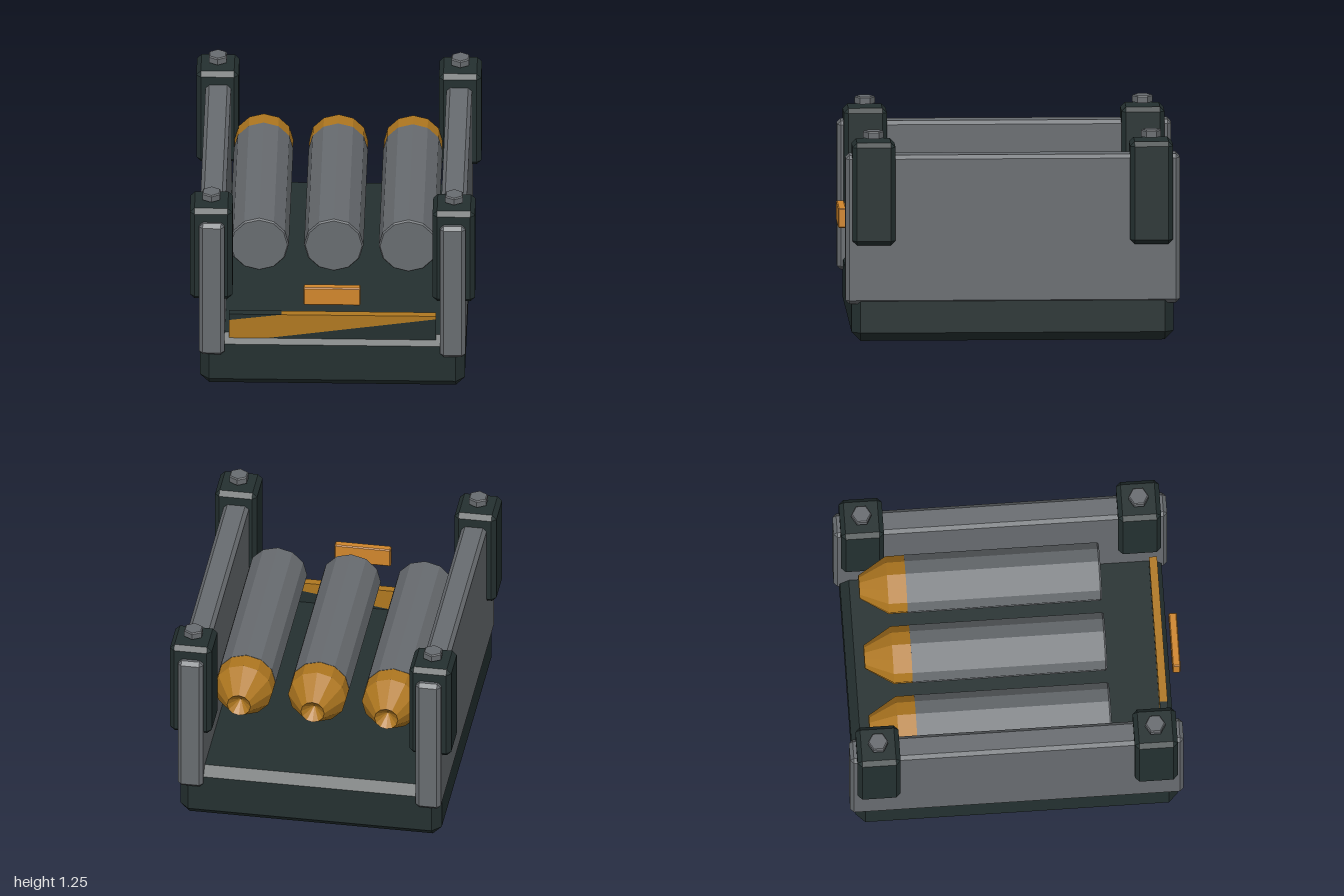
import * as THREE from 'three';
import { ConvexGeometry } from 'three/addons/geometries/ConvexGeometry.js';

const flat = (name, color) => {
  const m = new THREE.MeshStandardMaterial({ color, flatShading: true });
  m.name = name;
  return m;
};

// Box with all edges and corners cut at an even bevel, given by its extents
function bevelBox([x0, x1], [y0, y1], [z0, z1], b) {
  const h = [(x1 - x0) / 2, (y1 - y0) / 2, (z1 - z0) / 2];
  const pts = [];
  for (const sx of [-1, 1]) for (const sy of [-1, 1]) for (const sz of [-1, 1]) {
    for (let outer = 0; outer < 3; outer++) {
      const d = h.map((v, i) => (i === outer ? v : v - b));
      pts.push(new THREE.Vector3(sx * d[0], sy * d[1], sz * d[2]));
    }
  }
  return new ConvexGeometry(pts).translate((x0 + x1) / 2, (y0 + y1) / 2, (z0 + z1) / 2);
}

const lathe = (profile, sides) =>
  new THREE.LatheGeometry(profile.map(([r, y]) => new THREE.Vector2(r, y)), sides);

// Slab cut from a front outline
function slab(outline, z0, z1) {
  const shape = new THREE.Shape(outline.map(([x, y]) => new THREE.Vector2(x, y)));
  return new THREE.ExtrudeGeometry(shape, { depth: z1 - z0, bevelEnabled: false }).translate(0, 0, z0);
}

export function createModel() {
  const root = new THREE.Group();
  root.name = 'launcherRack';
  const dark = flat('darkMetal', 0x243030);
  const grey = flat('greyMetal', 0x686c70);
  const ochre = flat('ochre', 0xb07820);
  const orange = flat('orange', 0xd0862c);

  const add = (name, geometry, material, x = 0, y = 0, z = 0) => {
    const mesh = new THREE.Mesh(geometry, material);
    mesh.name = name;
    mesh.position.set(x, y, z);
    root.add(mesh);
  };

  // Base tray
  add('base', bevelBox([-0.78, 0.78], [0, 0.34], [-0.965, 0.935], 0.053), dark);

  // Side walls, corner posts and hexagonal bolts
  const wall = bevelBox([-0.075, 0.075], [0.225, 1.11], [-1, 0.97], 0.022);
  const post = bevelBox([-0.125, 0.125], [0.58, 1.19], [-0.127, 0.127], 0.027);
  const bolt = lathe([[0, 1.207], [0.06, 1.207], [0.06, 1.243], [0.053, 1.25], [0, 1.25]], 6);
  for (const side of [-1, 1]) {
    add('sideWall', wall, grey, side * 0.71);
    for (const z of [0.805, -0.832]) {
      add('cornerPost', post, dark, side * 0.715, 0, z);
      add('bolt', bolt, grey, side * 0.715, 0, z);
    }
  }

  // Three tubes with tapered, hollow-ended tips pointing backward
  const tube = lathe([[0, -0.59], [0.175, -0.59], [0.175, 0.55], [0.167, 0.56], [0, 0.56]], 12).rotateX(Math.PI / 2);
  const tip = lathe([[0, -0.79], [0.07, -0.865], [0.173, -0.7], [0.173, -0.59], [0, -0.59]], 12).rotateX(Math.PI / 2);
  for (const x of [-0.44, 0, 0.44]) {
    add('tube', tube, grey, x, 0.75);
    add('tubeTip', tip, ochre, x, 0.75);
  }

  // Two-tone front lip, split along a diagonal
  add('lipUpper', slab([[-0.61, 0.315], [-0.39, 0.315], [0.61, 0.455], [0.61, 0.475],
    [-0.3, 0.475], [-0.61, 0.435]], 0.86, 0.907), ochre);
  add('lipLower', slab([[-0.39, 0.315], [0.61, 0.315], [0.61, 0.455]], 0.86, 0.907), dark);
  add('lipCorner', slab([[-0.61, 0.435], [-0.3, 0.475], [-0.61, 0.475]], 0.86, 0.907), dark);

  // Small marker bar ahead of the middle tube
  add('markerBar', bevelBox([-0.168, 0.168], [0.59, 0.707], [0.945, 0.993], 0.006), orange);

  return root;
}
